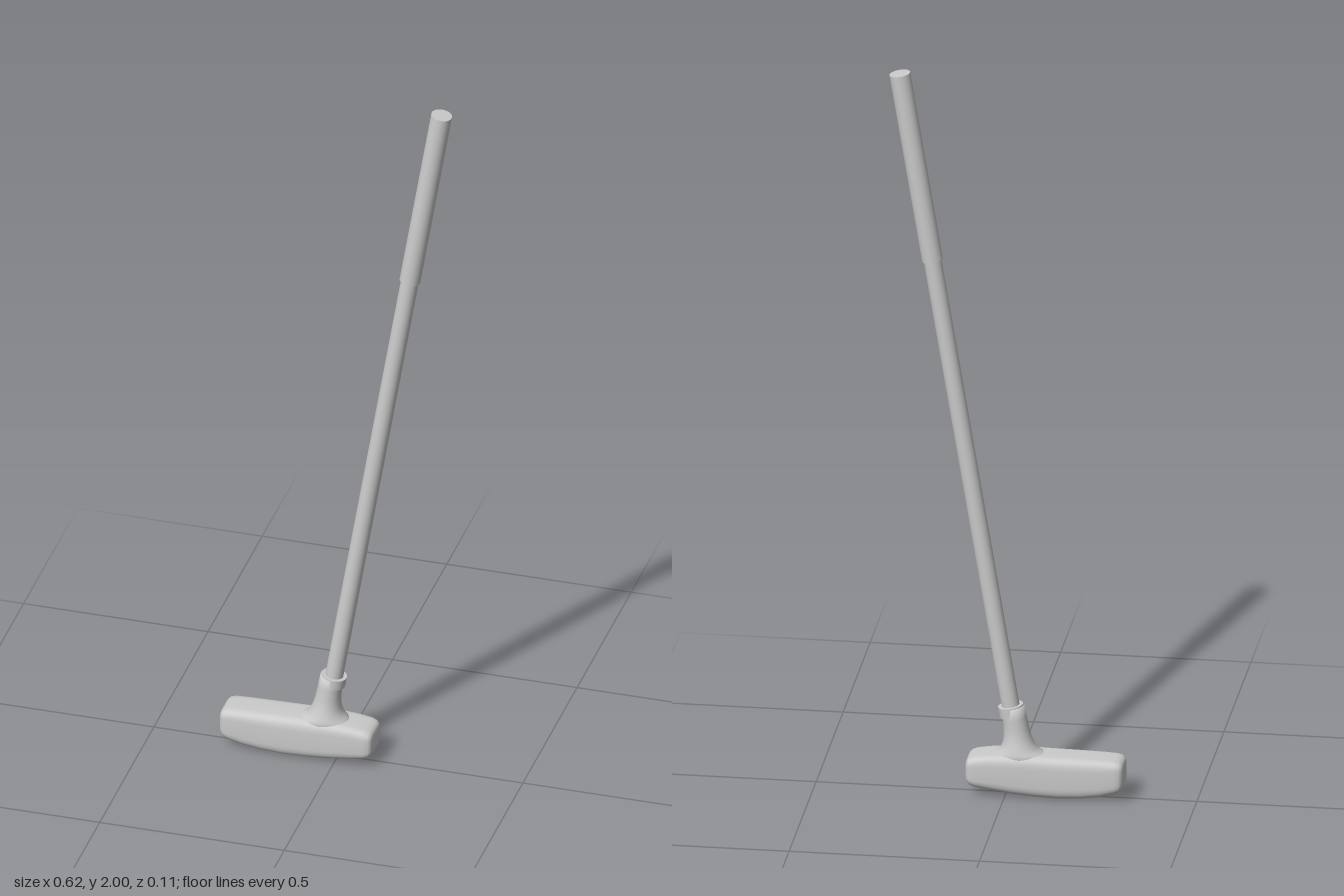
import * as THREE from 'three';

const material = new THREE.MeshStandardMaterial({ color: 0xcccccc, roughness: 0.6 });

// Skins a series of closed rings (arrays of Vector3) and closes both ends
function loft(rings) {
  const n = rings[0].length, pos = [], index = [];
  rings.forEach(r => r.forEach(p => pos.push(p.x, p.y, p.z)));
  for (let i = 0; i < rings.length - 1; i++) {
    for (let j = 0; j < n; j++) {
      const k = (j + 1) % n, a = i * n + j, b = i * n + k;
      index.push(a, b, a + n, b, b + n, a + n);
    }
  }
  [0, rings.length - 1].forEach((i, end) => {
    const c = rings[i].reduce((s, p) => s.add(p), new THREE.Vector3()).divideScalar(n);
    const ci = pos.length / 3;
    pos.push(c.x, c.y, c.z);
    for (let j = 0; j < n; j++) {
      const a = i * n + j, b = i * n + (j + 1) % n;
      if (end) index.push(ci, a, b); else index.push(ci, b, a);
    }
  });
  const g = new THREE.BufferGeometry();
  g.setAttribute('position', new THREE.Float32BufferAttribute(pos, 3));
  g.setIndex(index);
  g.computeVertexNormals();
  return g;
}

const ring = (n, f) => Array.from({ length: n }, (_, i) => f((i / n) * Math.PI * 2));
const soft = (v, e) => Math.sign(v) * Math.pow(Math.abs(v), e);

export function createModel() {
  const group = new THREE.Group();
  const add = (name, geometry) => {
    const m = new THREE.Mesh(geometry, material);
    m.name = name;
    group.add(m);
    return m;
  };

  // Club head: rounded-rectangle sections along x [x, bottom, top, half depth]
  const stations = [
    [-0.311, 0.056, 0.092, 0.028], [-0.31, 0.044, 0.102, 0.038], [-0.307, 0.037, 0.108, 0.045],
    [-0.3, 0.03, 0.113, 0.05], [-0.288, 0.025, 0.116, 0.052], [-0.25, 0.015, 0.118, 0.053],
    [-0.2, 0.008, 0.119, 0.054], [-0.14, 0.005, 0.12, 0.055], [-0.08, 0.007, 0.121, 0.055],
    [-0.02, 0.012, 0.121, 0.055], [0.04, 0.02, 0.118, 0.054], [0.08, 0.027, 0.112, 0.053],
    [0.093, 0.032, 0.107, 0.05], [0.099, 0.038, 0.102, 0.045], [0.102, 0.045, 0.096, 0.038],
    [0.103, 0.055, 0.087, 0.028],
  ];
  add('clubHead', loft(stations.map(([x, lo, hi, hz]) => ring(48, a => {
    const y = soft(Math.cos(a), 0.4), z = soft(Math.sin(a), 0.4);
    const taper = 1 - 0.1 * Math.max(0, -y) ** 3; // narrower sole
    return new THREE.Vector3(x, (lo + hi) / 2 + y * (hi - lo) / 2, z * hz * taper);
  }))));

  // Leaning axis shared by socket, shaft and grip
  const base = new THREE.Vector3(-0.012, 0.24, 0);
  const top = new THREE.Vector3(0.28, 1.996, 0);
  const dir = top.clone().sub(base).normalize();
  const lean = dir.x / dir.y;
  const at = y => base.x + (y - base.y) * lean;

  // Socket flaring into the head [y, left x, right x, half depth]
  const flare = [
    [0.095, -0.125, 0.045, 0.05], [0.117, -0.105, 0.03, 0.049], [0.124, -0.09, 0.021, 0.048],
    [0.134, -0.079, 0.014, 0.045], [0.148, -0.071, 0.009, 0.041], [0.165, -0.064, 0.007, 0.037],
    [0.185, -0.059, 0.007, 0.035], [0.215, -0.053, 0.01, 0.034], [0.245, -0.047, 0.016, 0.033],
  ];
  const flareRings = flare.map(([y, l, r, hz], i) => ring(36, a => {
    const sx = Math.sin(a) * (r - l) / 2;
    const tilt = Math.max(0, (i - 3) / 5) * lean;
    return new THREE.Vector3((l + r) / 2 + sx, y - sx * tilt, Math.cos(a) * hz);
  }));
  add('socket', loft(flareRings.slice(0, -1).concat([flareRings.at(-1)])));

  // Socket rim, shaft and grip
  const rod = (name, y0, y1, r) => {
    const a = new THREE.Vector3(at(y0), y0, 0), b = new THREE.Vector3(at(y1), y1, 0);
    const m = add(name, new THREE.CylinderGeometry(r, r, a.distanceTo(b), 36));
    m.position.copy(a).add(b).multiplyScalar(0.5);
    m.quaternion.setFromUnitVectors(new THREE.Vector3(0, 1, 0), dir);
  };
  rod('socketRim', 0.22, 0.248, 0.033);
  rod('shaft', 0.2, 1.5, 0.0235);
  rod('grip', 1.48, 1.996, 0.0275);

  return group;
}
